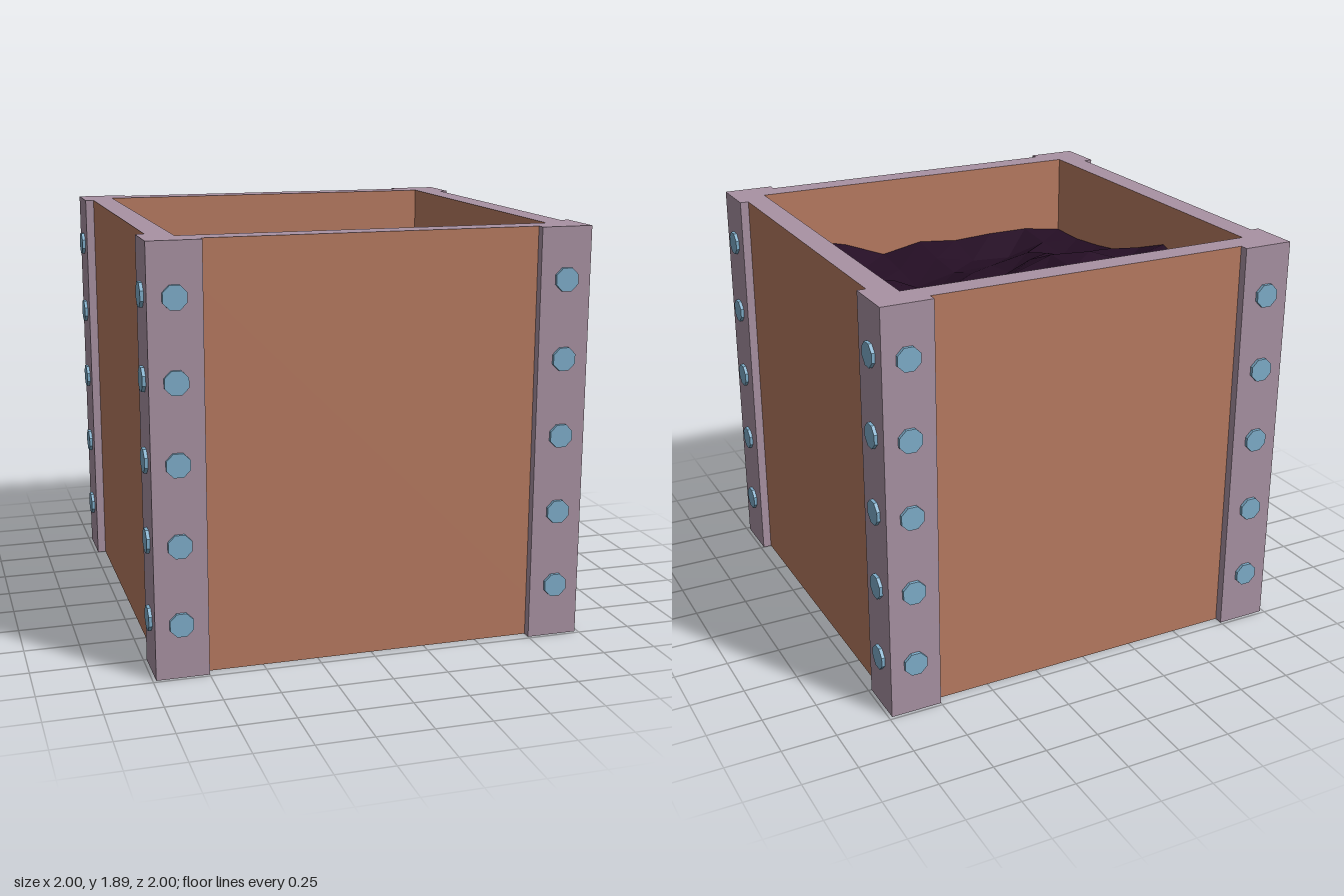
import * as THREE from 'three';

const HEIGHT = 1.89, INNER = 0.835, WALL = 0.945, OUTER = 0.985;

const makeMaterial = (name, color, extra = {}) => {
  const m = new THREE.MeshStandardMaterial({ color, ...extra });
  m.name = name;
  return m;
};

const squarePoints = (r) => [[-r, -r], [r, -r], [r, r], [-r, r]].map(([x, y]) => new THREE.Vector2(x, y));

// Extrudes a plan outline straight up from the ground
function extrudeUp(shape) {
  const g = new THREE.ExtrudeGeometry(shape, { depth: HEIGHT, bevelEnabled: false });
  return g.rotateX(-Math.PI / 2);
}

function seededNoise(seed) {
  return () => {
    seed = (seed * 16807) % 2147483647;
    return seed / 2147483647 - 0.5;
  };
}

// Lumpy surface: edge heights blended across the box, plus small bumps inside
function soilGeometry() {
  const back = [1.52, 1.54, 1.58, 1.64, 1.55, 1.56, 1.59, 1.6, 1.6];
  const front = [1.5, 1.53, 1.53, 1.52, 1.54, 1.5, 1.58, 1.63, 1.57];
  const left = [1.52, 1.56, 1.63, 1.69, 1.62, 1.55, 1.52, 1.5, 1.5];
  const right = [1.6, 1.62, 1.65, 1.68, 1.62, 1.57, 1.55, 1.55, 1.57];
  const n = 8, noise = seededNoise(77);
  const g = new THREE.PlaneGeometry(2 * INNER, 2 * INNER, n, n).rotateX(-Math.PI / 2);
  const p = g.attributes.position;
  for (let j = 0; j <= n; j++) {
    for (let i = 0; i <= n; i++) {
      const u = i / n, v = j / n, k = j * (n + 1) + i;
      const corners = (1 - v) * ((1 - u) * back[0] + u * back[n]) + v * ((1 - u) * front[0] + u * front[n]);
      let y = (1 - v) * back[i] + v * front[i] + (1 - u) * left[j] + u * right[j] - corners;
      if (i > 0 && i < n && j > 0 && j < n) y += noise() * 0.09 - 0.03;
      p.setY(k, y);
      // The back edge pulls away from the wall in the middle
      if (j === 0) p.setZ(k, -INNER + Math.max(0, 0.03 - 0.08 * Math.abs(p.getX(k))));
    }
  }
  const flat = g.toNonIndexed();
  flat.computeVertexNormals();
  return flat;
}

export function createModel() {
  const model = new THREE.Group();
  model.name = 'planterBox';
  const panel = makeMaterial('terracotta panel', 0xb87b61);
  const frame = makeMaterial('mauve frame', 0xa992a3);
  const boltBlue = makeMaterial('blue bolt', 0x7faecb, { flatShading: true });
  const earth = makeMaterial('dark soil', 0x240e24, { flatShading: true, side: THREE.DoubleSide });

  const add = (parent, name, geometry, material) => {
    const mesh = new THREE.Mesh(geometry, material);
    mesh.name = name;
    parent.add(mesh);
    return mesh;
  };

  // Four walls as one hollow frame with mauve rims
  const wallShape = new THREE.Shape(squarePoints(WALL));
  wallShape.holes.push(new THREE.Path(squarePoints(INNER)));
  add(model, 'walls', extrudeUp(wallShape), [frame, panel]);

  // Floor inside the walls
  add(model, 'floor', new THREE.BoxGeometry(2 * INNER, 0.1, 2 * INNER), frame).position.y = 0.05;

  add(model, 'soil', soilGeometry(), earth);

  // L-shaped corner braces, each with a row of bolts on both faces
  const braceShape = new THREE.Shape([
    [0.75, WALL], [WALL, WALL], [WALL, 0.75], [OUTER, 0.75], [OUTER, OUTER], [0.75, OUTER],
  ].map(([x, y]) => new THREE.Vector2(x, y)));
  const braceGeometry = extrudeUp(braceShape);
  const boltGeometry = new THREE.CylinderGeometry(0.056, 0.056, 0.02, 8, 1, false, Math.PI / 8).rotateX(Math.PI / 2);

  for (let side = 0; side < 4; side++) {
    const corner = new THREE.Group();
    corner.name = 'corner' + (side + 1);
    corner.rotation.y = (side * Math.PI) / 2;
    add(corner, 'brace', braceGeometry, frame);
    for (const x of [-0.87, 0.87]) {
      for (const y of [0.245, 0.597, 0.952, 1.303, 1.658]) {
        add(corner, 'bolt', boltGeometry, boltBlue).position.set(x, y, 0.99);
      }
    }
    model.add(corner);
  }
  return model;
}
